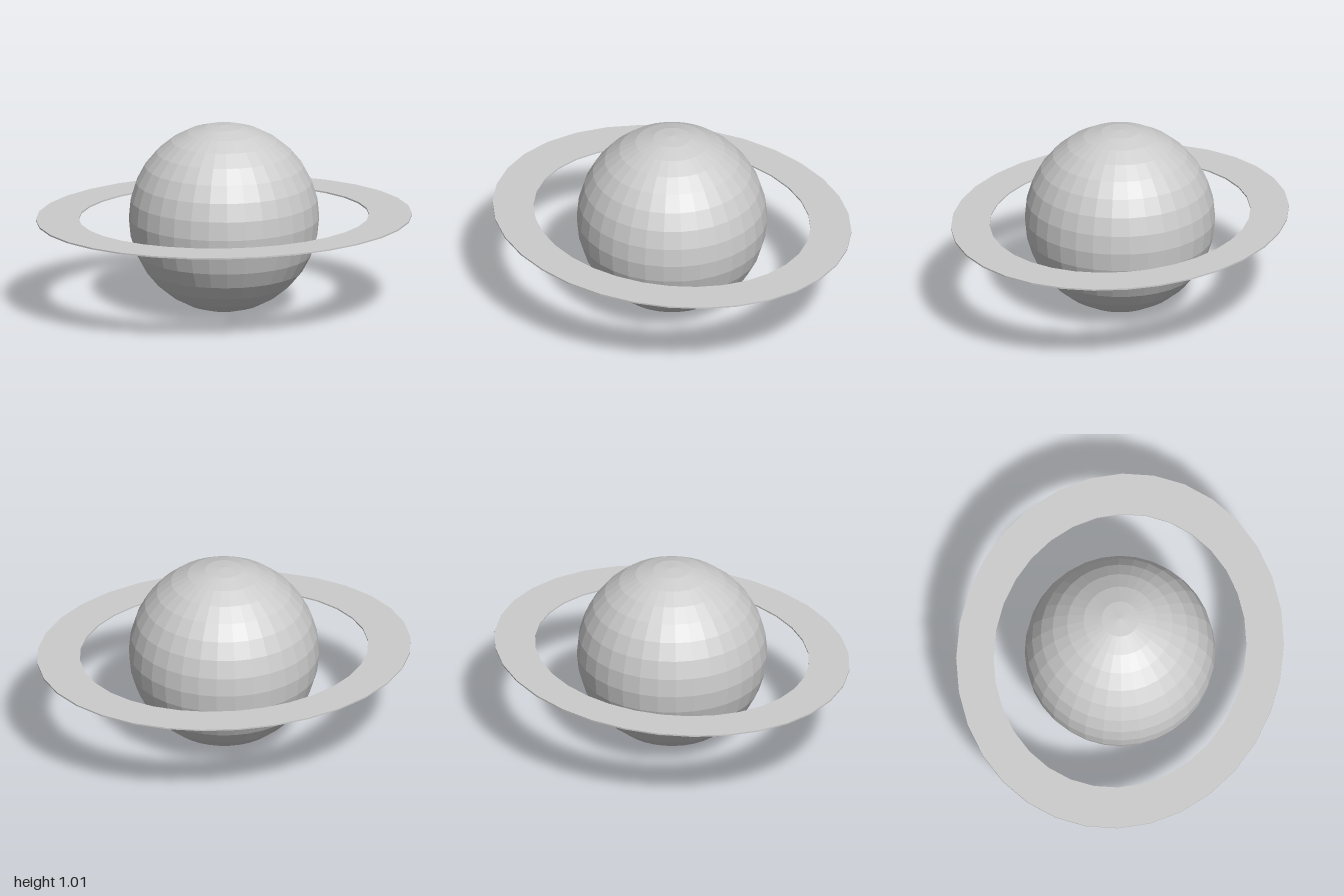
import * as THREE from 'three';

const RADIUS = 0.503;
const SEGMENTS = 32;

export function createModel() {
  const model = new THREE.Group();
  model.name = 'ringedPlanet';
  const material = new THREE.MeshStandardMaterial({ color: 0xcccccc, flatShading: true });

  // Faceted globe
  const planet = new THREE.Mesh(new THREE.SphereGeometry(RADIUS, SEGMENTS, SEGMENTS / 2), material);
  planet.name = 'planet';
  planet.position.y = RADIUS;
  model.add(planet);

  // Thin flat ring: a closed rectangular section turned round, then squashed to an oval
  const inner = 0.772, outer = 1, half = 0.004;
  const section = [
    [inner, -half], [outer, -half], [outer, half], [inner, half], [inner, -half],
  ].map(([x, y]) => new THREE.Vector2(x, y));
  const ringGeometry = new THREE.LatheGeometry(section, SEGMENTS);
  ringGeometry.scale(1, 1, 0.86);
  const ring = new THREE.Mesh(ringGeometry, material);
  ring.name = 'ring';
  ring.position.y = RADIUS;
  model.add(ring);

  return model;
}
